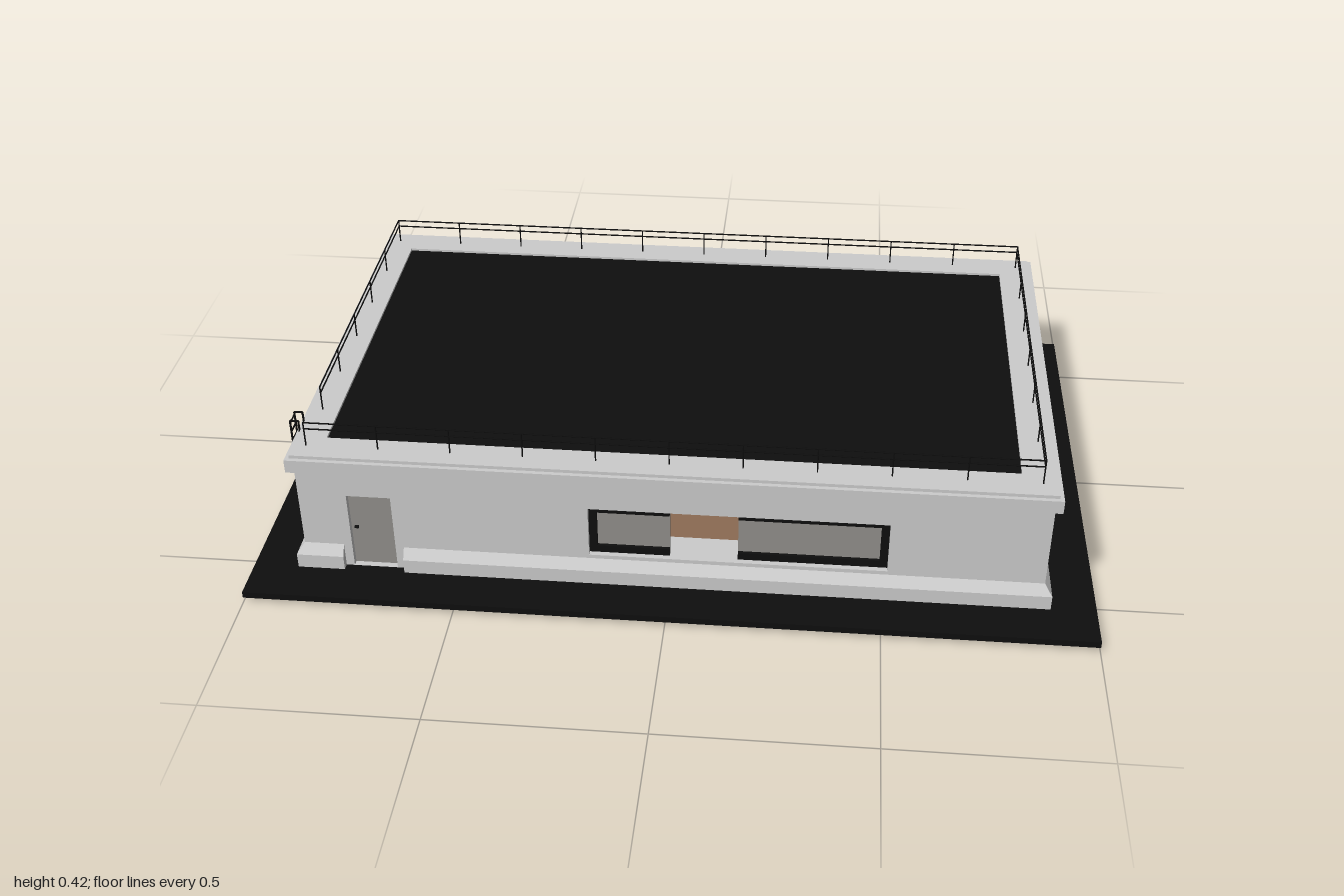
import * as THREE from 'three';

const mat = (name, color) => new THREE.MeshStandardMaterial({ name, color });

export function createModel() {
  const concrete = mat('concrete', 0xcccccc);
  const black = mat('black', 0x0e0e0e);
  const glass = mat('grey panel', 0x92908c);
  const brown = mat('brown floor', 0x8b6a52);
  const model = new THREE.Group();

  const add = (name, geo, material, parent = model) => {
    const m = new THREE.Mesh(geo, material);
    m.name = name;
    parent.add(m);
    return m;
  };
  // Box given by its limits on each axis
  const box = (name, material, x0, x1, y0, y1, z0, z1, parent) => {
    const g = new THREE.BoxGeometry(x1 - x0, y1 - y0, z1 - z0);
    g.translate((x0 + x1) / 2, (y0 + y1) / 2, (z0 + z1) / 2);
    return add(name, g, material, parent);
  };
  const rect = (x0, x1, y0, y1, T = THREE.Shape) =>
    new T([[x0, y0], [x1, y0], [x1, y1], [x0, y1]].map(([x, y]) => new THREE.Vector2(x, y)));
  // Flat panel with rectangular holes, extruded along +z
  const panel = (outer, holes, depth) => {
    const s = rect(...outer);
    holes.forEach(h => s.holes.push(rect(...h, THREE.Path)));
    return new THREE.ExtrudeGeometry(s, { depth, bevelEnabled: false });
  };
  // Horizontal ring, bottom at y
  const ring = (name, material, outer, hole, y, h) => {
    const g = panel(outer, [hole], h);
    g.rotateX(-Math.PI / 2);
    g.translate(0, y, 0);
    return add(name, g, material);
  };

  // Slightly tilted ground border, open under the floor
  const pad = ring('groundBorder', black, [-1, 1, -0.65, 0.65], [-0.86, 0.74, -0.44, 0.51], -0.008, 0.016);
  pad.rotation.x = -0.01;
  pad.position.y = 0.0145;

  // Floor
  box('floorSlab', concrete, -0.87, 0.76, 0.018, 0.03, -0.52, 0.46);
  box('floorCovering', brown, -0.85, 0.74, 0.03, 0.035, -0.51, 0.44);

  // Walls
  const front = add('frontWall', panel([-0.85, 0.74, 0.015, 0.31],
    [[-0.19, 0.51, 0.1, 0.235], [-0.76, -0.655, 0.028, 0.235]], 0.085), concrete);
  front.position.z = 0.44;
  const rightWall = add('sideWallWithWindow', panel([-0.525, 0.525, 0.015, 0.31],
    [[-0.21, 0.215, 0.105, 0.235]], 0.135), concrete);
  rightWall.rotation.y = Math.PI / 2;
  rightWall.position.x = 0.74;
  box('plainSideWall', concrete, -0.875, -0.85, 0.015, 0.31, -0.525, 0.525);
  box('backLintel', concrete, -0.85, 0.74, 0.295, 0.31, -0.525, -0.495);

  // Door
  box('door', glass, -0.76, -0.655, 0.028, 0.235, 0.49, 0.51);
  box('doorHandle', black, -0.752, -0.742, 0.134, 0.138, 0.51, 0.517);

  // Window built facing +z; side frames are optional
  const windowUnit = (name, x0, x1, y0, y1, leftBar, rightBar) => {
    const g = new THREE.Group();
    const t = 0.019;
    g.name = name;
    box('windowGlass', glass, x0, x1, y0, y1, -0.012, -0.004, g);
    box('windowFrameTop', black, x0, x1, y1 - t, y1, -0.014, 0.004, g);
    box('windowFrameBottom', black, x0, x1, y0, y0 + t, -0.014, 0.004, g);
    if (leftBar) box('windowFrameSide', black, x0, x0 + t, y0 + t, y1 - t, -0.014, 0.004, g);
    if (rightBar) box('windowFrameSide', black, x1 - t, x1, y0 + t, y1 - t, -0.014, 0.004, g);
    model.add(g);
    return g;
  };
  windowUnit('frontWindowA', -0.19, 0, 0.1, 0.235, true, false).position.z = 0.508;
  windowUnit('frontWindowB', 0.16, 0.51, 0.1, 0.235, false, true).position.z = 0.508;
  const side = windowUnit('sideWindow', -0.21, 0.215, 0.105, 0.235, true, true);
  side.rotation.y = Math.PI / 2;
  side.position.x = 0.858;

  // Sloped plinth strips, mitred where they meet at corners
  const plinth = (name, a, b, mitreA, mitreB, wallZ, angle) => {
    const s = new THREE.Shape([[-0.015, 0.015], [0.018, 0.015], [0.018, 0.065], [0, 0.09], [-0.015, 0.09]]
      .map(([d, y]) => new THREE.Vector2(d, y)));
    const e = new THREE.ExtrudeGeometry(s, { depth: 1, bevelEnabled: false });
    const p = e.attributes.position;
    for (let i = 0; i < p.count; i++) {
      const d = p.getX(i), atA = p.getZ(i) > 0.5; // extrusion end maps to the lower x
      const x = atA ? a - (mitreA ? d : 0) : b + (mitreB ? d : 0);
      p.setXYZ(i, x, p.getY(i), wallZ + d);
    }
    e.computeVertexNormals();
    e.rotateY(angle);
    add(name, e, concrete);
  };
  plinth('frontPlinth', -0.875, -0.78, true, false, 0.525, 0);
  plinth('frontPlinth', -0.635, 0.875, false, true, 0.525, 0);
  plinth('sidePlinth', -0.525, 0.525, true, true, 0.875, Math.PI / 2);
  plinth('sidePlinth', -0.525, 0.525, true, true, 0.875, -Math.PI / 2);
  plinth('backPlinth', -0.875, -0.15, true, false, 0.525, Math.PI);
  plinth('backPlinth', 0.015, 0.875, false, true, 0.525, Math.PI);
  box('backThreshold', concrete, -0.015, 0.15, 0.015, 0.05, -0.54, -0.51);

  // Roof: ceiling, cornice, parapet and dark covering
  box('ceiling', concrete, -0.86, 0.86, 0.3, 0.335, -0.515, 0.515);
  ring('cornice', concrete, [-0.89, 0.89, -0.543, 0.543], [-0.81, 0.8, -0.455, 0.455], 0.308, 0.034);
  ring('parapetCap', concrete, [-0.88, 0.88, -0.533, 0.533], [-0.81, 0.8, -0.455, 0.455], 0.342, 0.008);
  box('roofCovering', black, -0.81, 0.8, 0.335, 0.344, -0.455, 0.455);

  // Thin round bar between two points
  const bar = (name, a, b, r = 0.0018) => {
    const p = new THREE.Vector3(...a), q = new THREE.Vector3(...b);
    const m = add(name, new THREE.CylinderGeometry(r, r, p.distanceTo(q), 6), black);
    m.position.copy(p).add(q).multiplyScalar(0.5);
    m.quaternion.setFromUnitVectors(new THREE.Vector3(0, 1, 0), q.sub(p).normalize());
  };
  // Guard rail run with evenly spaced posts
  const railing = (x0, z0, x1, z1, n) => {
    for (const y of [0.397, 0.414]) bar('guardRail', [x0, y, z0], [x1, y, z1]);
    for (let i = 0; i <= n; i++) {
      const x = x0 + (x1 - x0) * i / n, z = z0 + (z1 - z0) * i / n;
      bar('railPost', [x, 0.342, z], [x, 0.415, z]);
    }
  };
  railing(-0.85, 0.49, 0.845, 0.49, 10);
  railing(0.845, 0.49, 0.845, -0.495, 6);
  railing(0.845, -0.495, -0.85, -0.495, 10);
  railing(-0.85, -0.495, -0.85, 0.34, 5);

  // Roof ladder with hooked top
  for (const z of [0.393, 0.43]) {
    bar('ladderRail', [-0.902, 0.025, z], [-0.902, 0.375, z], 0.0025);
    bar('ladderHook', [-0.902, 0.375, z], [-0.882, 0.375, z], 0.0025);
    bar('ladderHook', [-0.882, 0.375, z], [-0.882, 0.342, z], 0.0025);
  }
  for (let i = 0; i < 14; i++) {
    const y = 0.05 + i * 0.0245;
    bar('ladderRung', [-0.902, y, 0.393], [-0.902, y, 0.43], 0.002);
  }
  return model;
}
